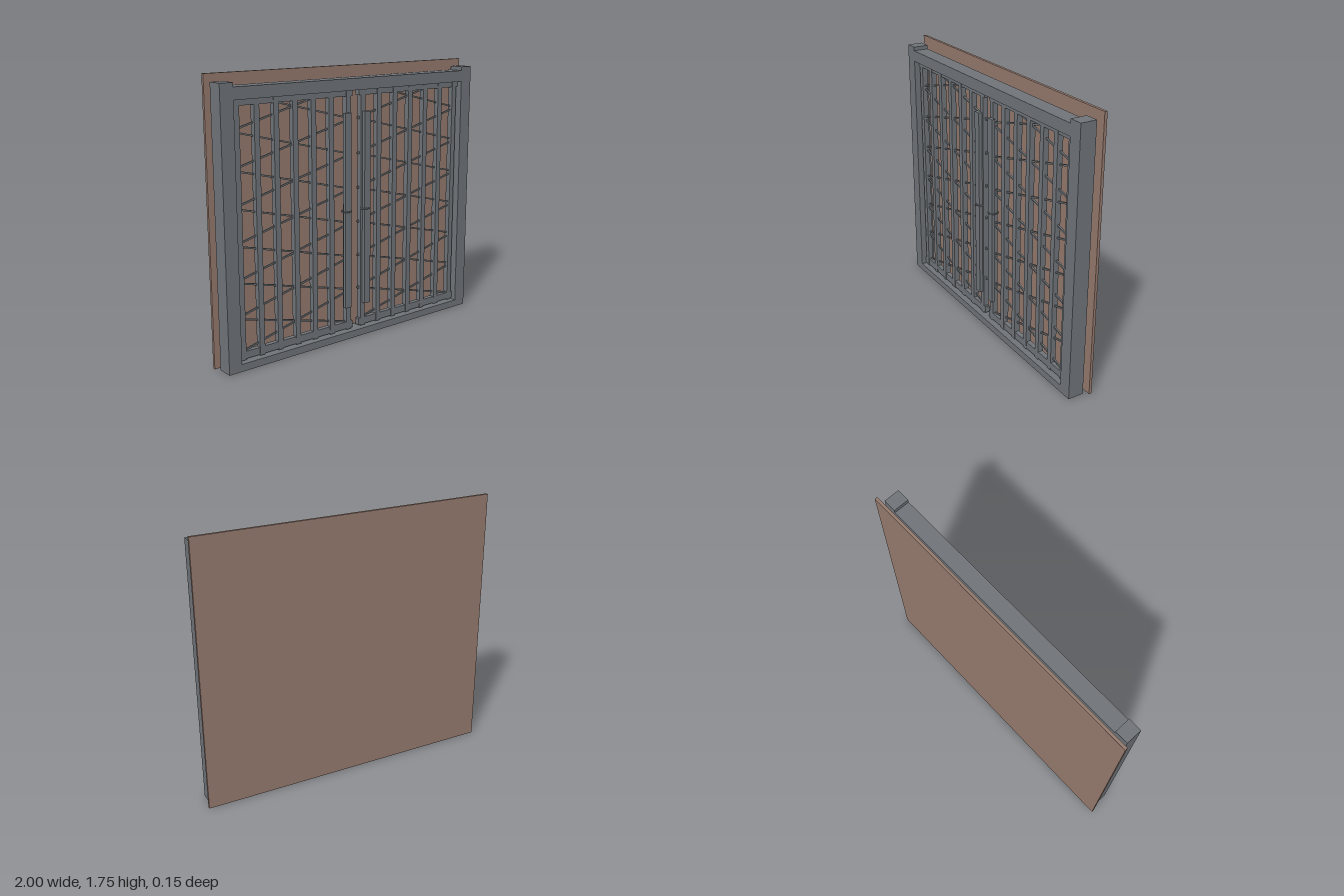
import * as THREE from 'three';

const steel = new THREE.MeshStandardMaterial({ color: 0x70757a });
steel.name = 'grey steel';
const wall = new THREE.MeshStandardMaterial({ color: 0x957a6e });
wall.name = 'brown backing';

// Box given by its limits on each axis
function box(parent, name, [x0, x1], [y0, y1], [z0, z1], material = steel) {
  const mesh = new THREE.Mesh(new THREE.BoxGeometry(x1 - x0, y1 - y0, z1 - z0), material);
  mesh.position.set((x0 + x1) / 2, (y0 + y1) / 2, (z0 + z1) / 2);
  mesh.name = name;
  parent.add(mesh);
  return mesh;
}

// Thin square rod between two points in the plane of the gate
function rod(parent, name, x0, y0, x1, y1, z, size) {
  const length = Math.hypot(x1 - x0, y1 - y0);
  const mesh = new THREE.Mesh(new THREE.BoxGeometry(length, size, size), steel);
  mesh.position.set((x0 + x1) / 2, (y0 + y1) / 2, z);
  mesh.rotation.z = Math.atan2(y1 - y0, x1 - x0);
  mesh.name = name;
  parent.add(mesh);
}

// One gate leaf; side is +1 for the left leaf and -1 for the right leaf
function gateLeaf(side) {
  const leaf = new THREE.Group();
  leaf.name = side > 0 ? 'leftLeaf' : 'rightLeaf';
  const span = (a, b) => (side > 0 ? [a, b] : [-b, -a]);

  // Rails
  box(leaf, 'bottomRail', span(0.025, 0.89), [0.058, 0.105], [0.009, 0.041]);
  box(leaf, 'topRail', span(0.025, 0.89), [1.57, 1.607], [0.009, 0.041]);

  // Upright bars, the first and last being the stiles
  for (let i = 0; i < 7; i++) {
    const x = 0.058 + i * 0.133;
    box(leaf, 'uprightBar', span(x - 0.018, x + 0.018), [0.052, 1.607], [0.007, 0.043]);
  }

  // Crossed wire lattice
  for (let i = 0; i < 7; i++) {
    const low = 0.092 + i * 0.2227, high = low + 0.2227;
    rod(leaf, 'latticeWire', side * 0.025, low, side * 0.89, high, 0.022, 0.01);
    rod(leaf, 'latticeWire', side * 0.025, high, side * 0.89, low, 0.022, 0.01);
  }

  // Long pull handle with a ring round its middle
  box(leaf, 'handle', span(0.053, 0.102), [0.21, 1.47], [0.043, 0.066]);
  const ring = new THREE.Mesh(new THREE.TorusGeometry(0.031, 0.0045, 8, 28), steel);
  ring.rotation.x = Math.PI / 2;
  ring.position.set(side * 0.0745, 0.847, 0.04);
  ring.name = 'handleRing';
  leaf.add(ring);
  return leaf;
}

export function createModel() {
  const gate = new THREE.Group();
  gate.name = 'gate';

  // Backing panel
  box(gate, 'backingPanel', [-1, 1], [0, 1.75], [-0.075, -0.057], wall);

  // Surrounding frame
  const depth = [-0.028, 0.075];
  box(gate, 'rightPost', [-0.977, -0.89], [0, 1.705], depth);
  box(gate, 'leftPost', [0.89, 0.977], [0, 1.705], depth);
  box(gate, 'topBeam', [-0.89, 0.89], [1.607, 1.68], depth);
  box(gate, 'bottomBeam', [-0.89, 0.89], [0, 0.047], depth);

  gate.add(gateLeaf(1), gateLeaf(-1));
  return gate;
}
